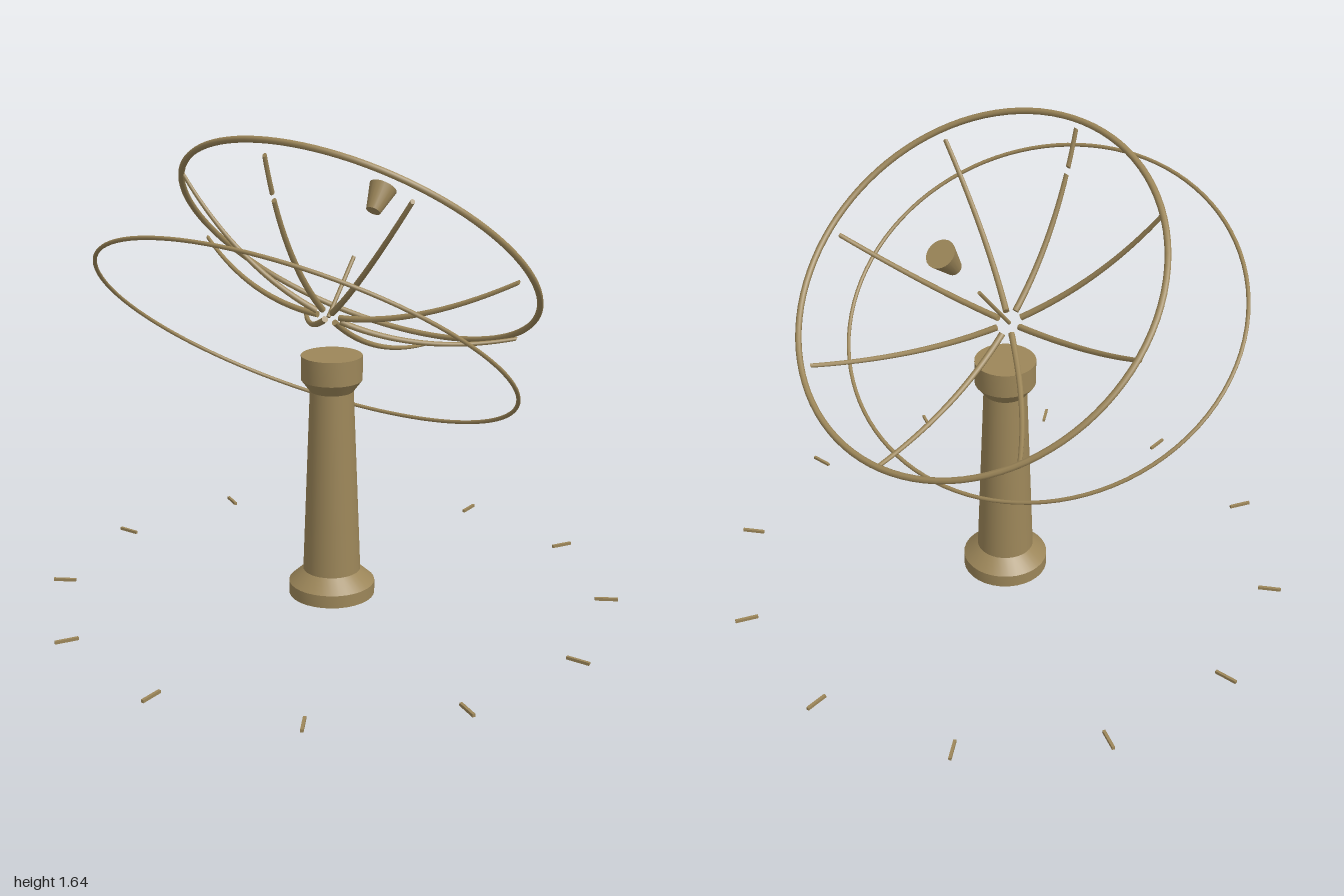
import * as THREE from 'three';
import { toCreasedNormals } from 'three/addons/utils/BufferGeometryUtils.js';

export function createModel() {
  const model = new THREE.Group();
  const bronze = new THREE.MeshStandardMaterial({ color: 0x9c8659 });
  bronze.name = 'bronze';

  const add = (parent, name, geometry) => {
    const mesh = new THREE.Mesh(geometry, bronze);
    mesh.name = name;
    parent.add(mesh);
    return mesh;
  };

  // Pedestal: stepped foot, tapering shaft, flared cap
  const profile = [[0, 0], [0.15, 0], [0.15, 0.045], [0.1, 0.09], [0.075, 0.74],
    [0.105, 0.78], [0.105, 0.865], [0, 0.865]].map(([r, y]) => new THREE.Vector2(r, y));
  add(model, 'pedestal', toCreasedNormals(new THREE.LatheGeometry(profile, 32), 0.4));

  // Ring of twelve ground markers
  for (let i = 0; i < 12; i++) {
    const marker = add(model, 'groundMarker',
      new THREE.BoxGeometry(0.08, 0.01, 0.01).translate(0.96, 0.005, 0));
    marker.rotation.y = i * Math.PI / 6;
  }

  // Tilted dish frame, its local y is the dish axis
  const dish = new THREE.Group();
  dish.name = 'dish';
  dish.position.set(0, 1.01, 0.0125);
  dish.rotation.x = THREE.MathUtils.degToRad(-40);
  model.add(dish);

  add(dish, 'rim', new THREE.TorusGeometry(0.65, 0.011, 8, 96)
    .rotateX(Math.PI / 2).translate(0, 0.26, 0));

  // Tapered rib running outward along z, bent to the parabola
  const width = (r) => THREE.MathUtils.lerp(0.0115, 0.008, r / 0.635);
  const ribGeometry = (r0, r1) => {
    const geo = new THREE.CylinderGeometry(width(r1), width(r0), r1 - r0, 8, 20)
      .rotateX(Math.PI / 2).translate(0, 0, (r0 + r1) / 2);
    const p = geo.attributes.position;
    for (let i = 0; i < p.count; i++) {
      p.setY(i, p.getY(i) - 0.01 + 0.56 * p.getZ(i) ** 2);
    }
    geo.computeVertexNormals();
    return geo;
  };
  for (let i = 0; i < 8; i++) {
    // The uppermost rib is broken near its tip
    const spans = i === 0 ? [[0.045, 0.505], [0.527, 0.635]] : [[0.045, 0.635]];
    for (const [r0, r1] of spans) {
      add(dish, 'rib', ribGeometry(r0, r1)).rotation.y = i * Math.PI / 4;
    }
  }

  // Feed mast and floating feed horn on the axis
  add(dish, 'feedMast', new THREE.CylinderGeometry(0.007, 0.007, 0.235, 8).translate(0, 0.105, 0));
  add(dish, 'feedHorn', new THREE.CylinderGeometry(0.05, 0.026, 0.096, 20).translate(0, 0.452, 0));

  // Oval orbit ring around the pedestal head
  const orbit = new THREE.EllipseCurve(0, 0, 0.753, 0.673);
  const points = orbit.getPoints(64).slice(0, 64).map((p) => new THREE.Vector3(p.x, 0, p.y));
  const path = new THREE.CatmullRomCurve3(points, true);
  const ring = add(model, 'orbitRing', new THREE.TubeGeometry(path, 96, 0.007, 8, true));
  ring.position.set(0, 0.967, 0.172);
  ring.rotation.x = THREE.MathUtils.degToRad(-36.9);

  return model;
}
